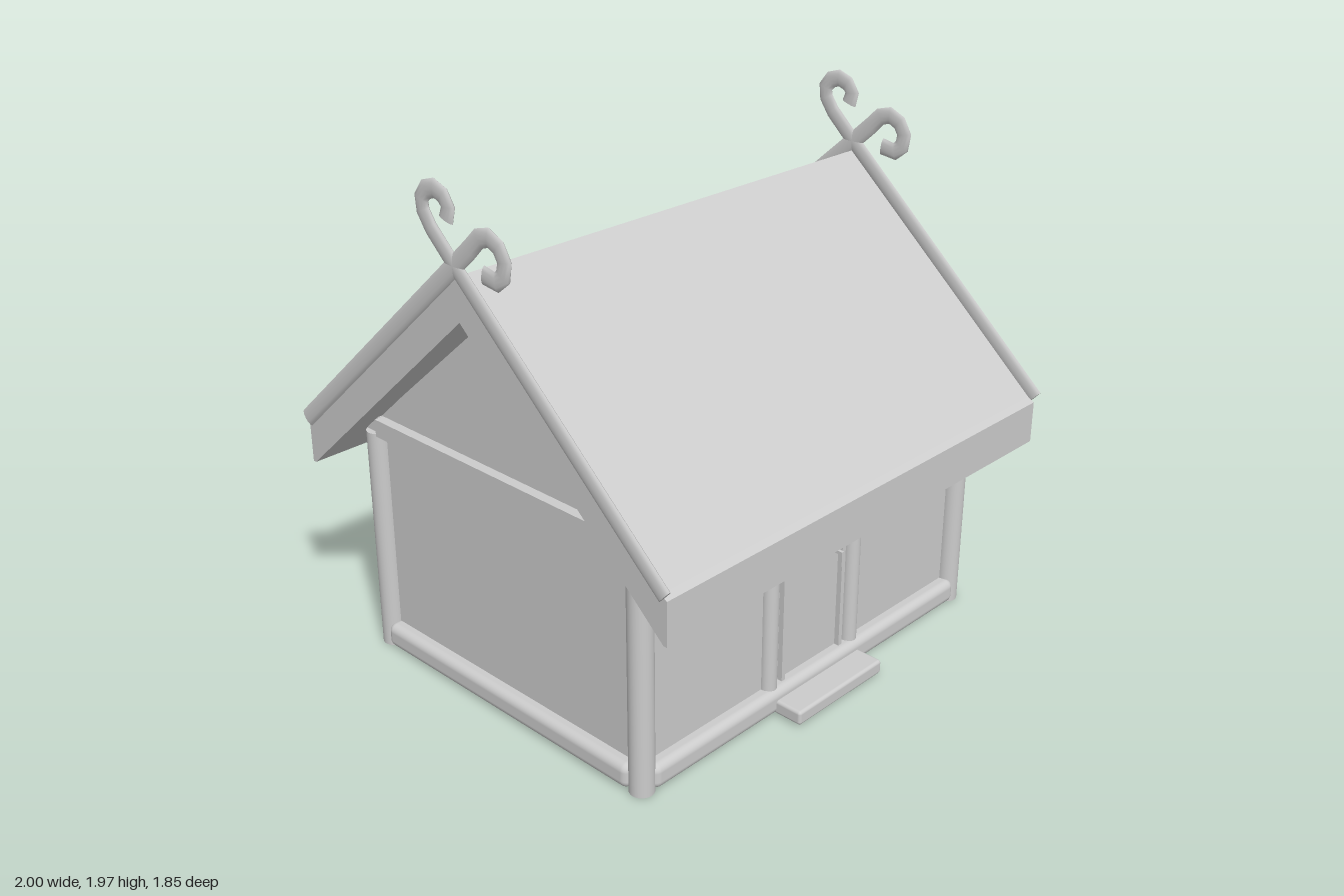
import * as THREE from 'three';
import { toCreasedNormals } from 'three/addons/utils/BufferGeometryUtils.js';
import { RoundedBoxGeometry } from 'three/addons/geometries/RoundedBoxGeometry.js';

const grey = new THREE.MeshStandardMaterial({ color: 0xcccccc });
grey.name = 'plain grey';

// Extrude a [z, y] outline along x, centred on x = 0
function prism(points, length) {
  const shape = new THREE.Shape(points.map(([z, y]) => new THREE.Vector2(-z, y)));
  const geo = new THREE.ExtrudeGeometry(shape, { depth: length, bevelEnabled: false });
  geo.translate(0, 0, -length / 2);
  geo.rotateY(Math.PI / 2);
  return geo;
}

// Sweep a flattened oval along a [z, y] path, with closed ends
function flatTube(path, radius, halfX, sides = 12) {
  const pos = [], index = [];
  const ring = ([z, y], [nz, ny], s) => {
    for (let i = 0; i < sides; i++) {
      const a = (i / sides) * Math.PI * 2;
      const r = Math.cos(a) * radius * s;
      pos.push(Math.sin(a) * halfX * s, y + ny * r, z + nz * r);
    }
  };
  const last = path.length - 1;
  path.forEach((p, i) => {
    const a = path[Math.max(i - 1, 0)], b = path[Math.min(i + 1, last)];
    const dz = b[0] - a[0], dy = b[1] - a[1], l = Math.hypot(dz, dy);
    const n = [-dy / l, dz / l];
    if (i === 0) ring(p, n, 0.001);
    ring(p, n, 1);
    if (i === last) ring(p, n, 0.001);
  });
  for (let k = 0; k < last + 2; k++) {
    for (let i = 0; i < sides; i++) {
      const j = (i + 1) % sides;
      const a = k * sides + i, b = k * sides + j, c = a + sides, d = b + sides;
      index.push(a, b, c, b, d, c);
    }
  }
  const geo = new THREE.BufferGeometry();
  geo.setAttribute('position', new THREE.Float32BufferAttribute(pos, 3));
  geo.setIndex(index);
  // Make the faces point outwards whichever way the path runs
  let volume = 0;
  const v = i => new THREE.Vector3().fromArray(pos, i * 3);
  for (let i = 0; i < index.length; i += 3) {
    volume += v(index[i]).dot(v(index[i + 1]).cross(v(index[i + 2])));
  }
  if (volume < 0) geo.setIndex(index.slice().reverse());
  return toCreasedNormals(geo, 1.0);
}

export function createModel() {
  const house = new THREE.Group();
  house.name = 'house';

  const add = (name, geo, x = 0, y = 0, z = 0) => {
    const mesh = new THREE.Mesh(geo, grey);
    mesh.name = name;
    mesh.position.set(x, y, z);
    house.add(mesh);
    return mesh;
  };
  const box = (w, h, d) => new THREE.BoxGeometry(w, h, d);
  const post = (r, y0, y1) => new THREE.CylinderGeometry(r, r, y1 - y0, 24).translate(0, (y0 + y1) / 2, 0);

  // Walls with gables, and floor
  add('walls', prism([[0.66, 0.04], [0.66, 0.93], [0, 1.5], [-0.66, 0.93], [-0.66, 0.04]], 1.71));
  add('floor', box(1.74, 0.09, 1.35), 0, 0.05, 0);

  // Roof: thick inverted V with plumb eaves
  add('roof', prism([
    [0.905, 0.72], [0.905, 0.88], [0.88, 0.895], [0, 1.67], [-0.88, 0.895],
    [-0.905, 0.88], [-0.905, 0.72], [-0.89, 0.72], [0, 1.515], [0.89, 0.72],
  ], 1.966));

  // Timber frame, mirrored on both axes
  for (const s of [-1, 1]) {
    add('longSill', new RoundedBoxGeometry(1.68, 0.095, 0.1, 4, 0.03), 0, 0.0525, s * 0.663);
    add('gableSill', new RoundedBoxGeometry(0.1, 0.095, 1.28, 4, 0.03), s * 0.855, 0.0525, 0);
    add('wallPlate', box(1.75, 0.07, 0.07), 0, 0.912, s * 0.665);
    add('gableBeam', box(0.075, 0.067, 1.26), s * 0.855, 0.912, 0);
    for (const t of [-1, 1]) {
      add('cornerPost', post(0.045, 0, 0.885), s * 0.855, 0, t * 0.663);
      add('middlePost', post(0.033, 0.06, 0.9), s * 0.225, 0, t * 0.663);
    }
    add('doorJamb', box(0.018, 0.8, 0.03), s * 0.16, 0.49, 0.665);
  }

  // Door handle and doorstep
  add('handleStem', box(0.012, 0.012, 0.035), 0.135, 0.5, 0.675);
  add('handleGrip', box(0.012, 0.06, 0.01), 0.135, 0.476, 0.69);
  add('doorstep', new RoundedBoxGeometry(0.465, 0.055, 0.13, 3, 0.012), 0, 0.036, 0.755);

  // Crossed barge boards ending in curls above the ridge
  const tallCurl = [
    [0.903, 0.898], [0, 1.707], [-0.105, 1.805], [-0.14, 1.855], [-0.145, 1.895], [-0.12, 1.927],
    [-0.08, 1.94], [-0.038, 1.925], [-0.015, 1.892], [-0.028, 1.85],
  ];
  const lowCurl = [
    [-0.903, 0.898], [0, 1.707], [0.08, 1.78], [0.125, 1.825], [0.17, 1.838], [0.215, 1.817],
    [0.24, 1.775], [0.232, 1.73], [0.2, 1.703], [0.14, 1.712],
  ];
  for (const s of [-1, 1]) {
    add('tallBargeBoard', flatTube(tallCurl, 0.033, 0.01), s * 0.99);
    add('lowBargeBoard', flatTube(lowCurl, 0.033, 0.01), s * 0.99);
  }
  return house;
}
